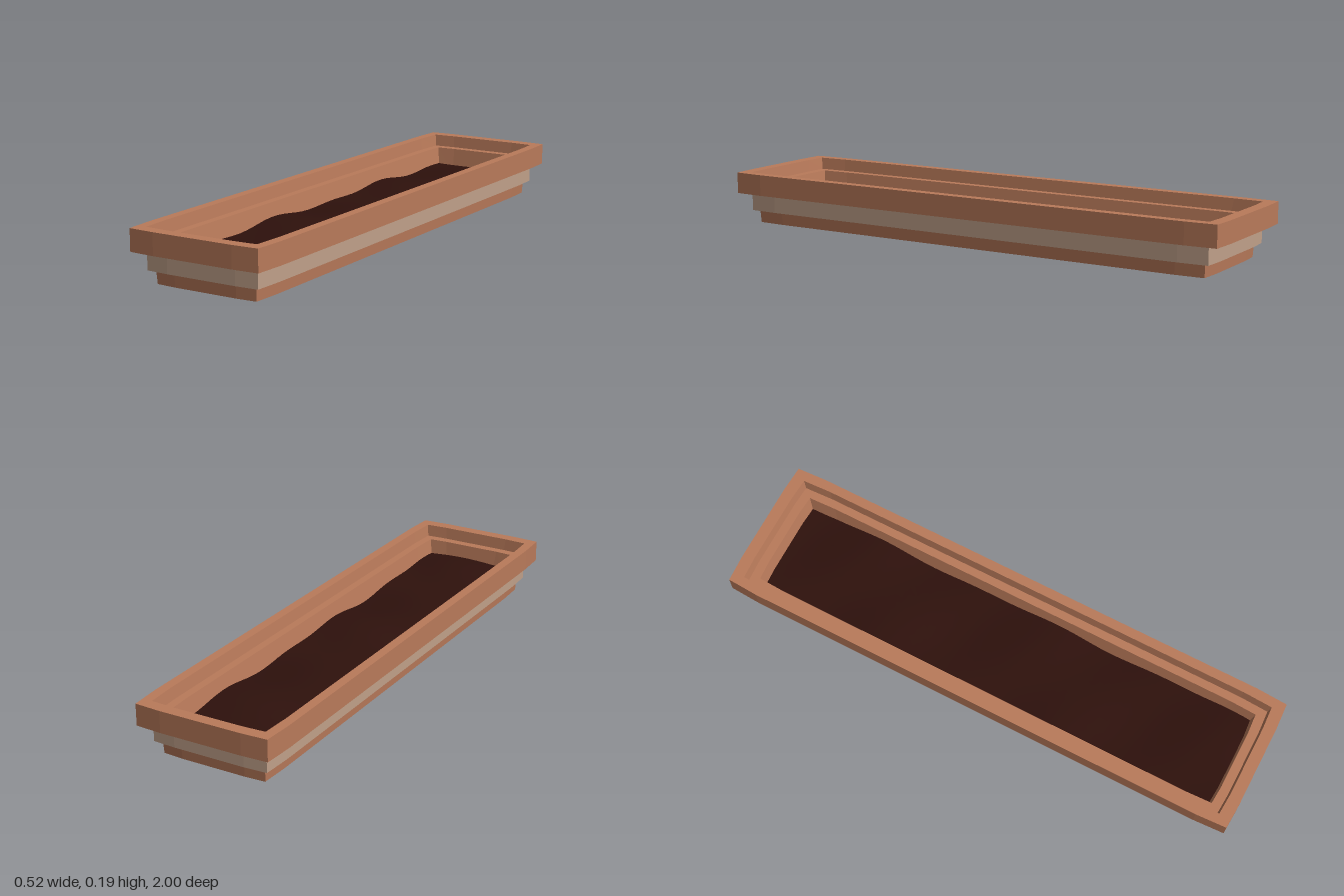
import * as THREE from 'three';

const clay = new THREE.MeshStandardMaterial({ color: 0xb97a5a, flatShading: true, side: THREE.DoubleSide });
const paleClay = new THREE.MeshStandardMaterial({ color: 0xc0a089, flatShading: true, side: THREE.DoubleSide });
const earth = new THREE.MeshStandardMaterial({ color: 0x2e110c, side: THREE.DoubleSide });

// Rectangle outline whose sides pull in slightly at the corners
function ring([hx, hz, y]) {
  const quarter = [[1, 0.88], [0.976, 0.995], [0.6, 1]];
  const right = [...quarter].reverse().concat(quarter.map(([x, z]) => [x, -z]));
  const left = right.map(([x, z]) => [-x, -z]);
  return right.concat(left).map(([x, z]) => [x * hx, y, z * hz]);
}

// Skin through a profile of [half width, half length, height] outlines
function loft(name, profile, material) {
  const rings = profile.map(ring);
  const n = rings[0].length;
  const index = [];
  for (let r = 0; r < rings.length - 1; r++) {
    for (let i = 0; i < n; i++) {
      const a = r * n + i;
      const b = r * n + (i + 1) % n;
      index.push(a, b, a + n, b, b + n, a + n);
    }
  }
  let geometry = new THREE.BufferGeometry();
  geometry.setAttribute('position', new THREE.Float32BufferAttribute(rings.flat(2), 3));
  geometry.setIndex(index);
  geometry = geometry.toNonIndexed();
  geometry.computeVertexNormals();
  const mesh = new THREE.Mesh(geometry, material);
  mesh.name = name;
  return mesh;
}

// Gently uneven bed of earth; its edges run into the tapered walls
function makeSoil() {
  const geometry = new THREE.PlaneGeometry(0.37, 1.83, 10, 48);
  geometry.rotateX(-Math.PI / 2);
  const p = geometry.attributes.position;
  for (let i = 0; i < p.count; i++) {
    const x = p.getX(i);
    const z = p.getZ(i);
    const wave = 0.007 * Math.sin(9 * z + 6 * x) + 0.005 * Math.sin(17 * z - 11 * x + 1);
    p.setY(i, 0.092 + wave + 0.004 * Math.cos(16 * x));
  }
  geometry.computeVertexNormals();
  const mesh = new THREE.Mesh(geometry, earth);
  mesh.name = 'soil';
  return mesh;
}

export function createModel() {
  const group = new THREE.Group();
  group.name = 'planterTrough';

  // Foot with closed underside
  group.add(loft('base', [[0, 0, 0], [0.201, 0.933, 0], [0.204, 0.936, 0.048]], clay));

  // Pale middle band
  group.add(loft('band', [[0.2, 0.93, 0.048], [0.224, 0.956, 0.048], [0.224, 0.956, 0.115]], paleClay));

  // Overhanging rim, inner ledge and tapered inner wall
  group.add(loft('rim', [
    [0.22, 0.95, 0.115], [0.258, 1, 0.115], [0.258, 1, 0.194],
    [0.223, 0.957, 0.194], [0.217, 0.95, 0.15],
    [0.187, 0.917, 0.15], [0.17, 0.9, 0.05],
  ], clay));

  group.add(makeSoil());
  return group;
}
